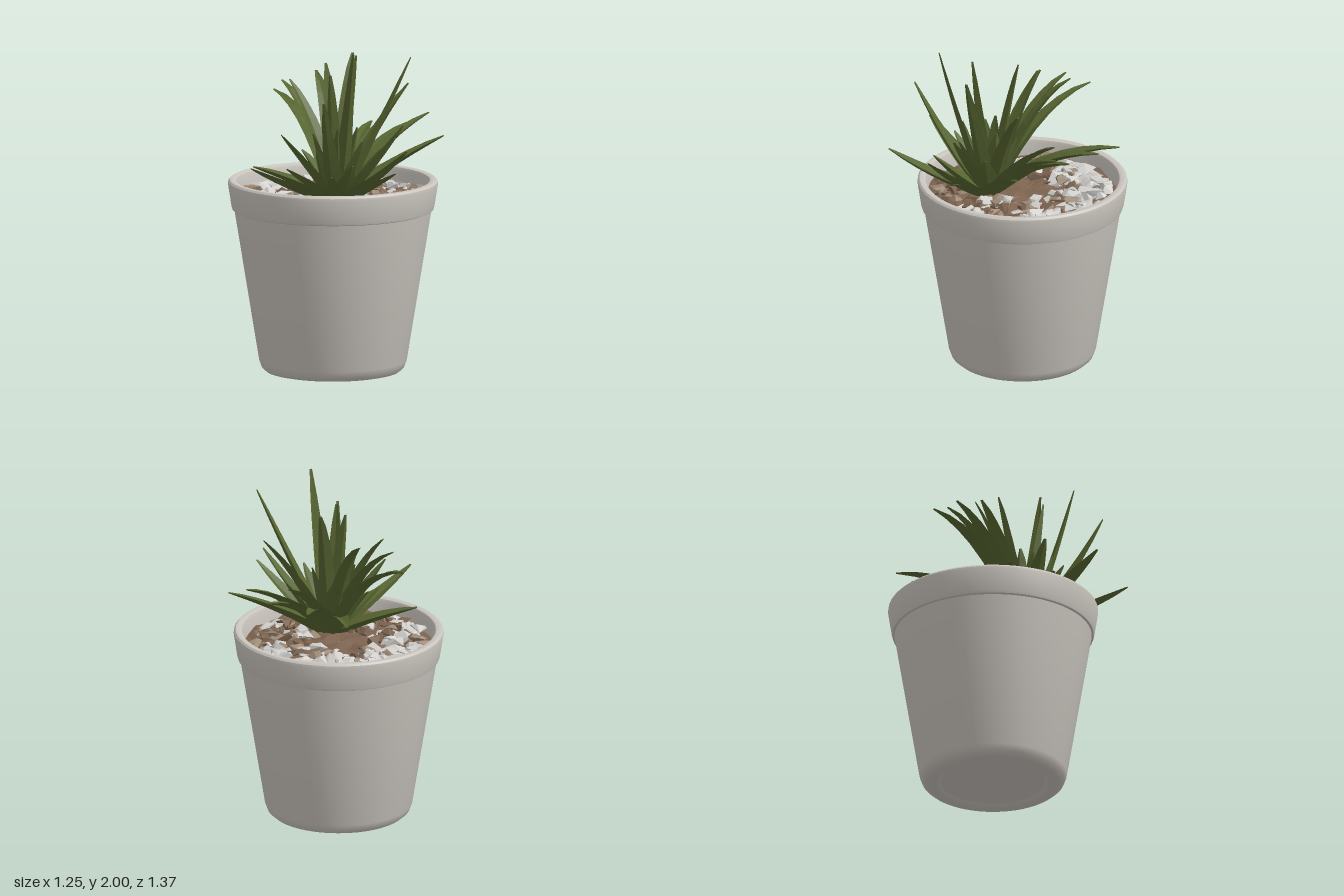
import * as THREE from 'three';
import { mergeGeometries, toCreasedNormals } from 'three/addons/utils/BufferGeometryUtils.js';
import { ConvexGeometry } from 'three/addons/geometries/ConvexGeometry.js';

const POT_Z = -0.063;
const UP = new THREE.Vector3(0, 1, 0);

const material = (name, color, side = THREE.FrontSide) => {
  const m = new THREE.MeshStandardMaterial({ color, side });
  m.name = name;
  return m;
};

function seeded(seed) {
  return () => {
    seed = (seed * 16807) % 2147483647;
    return seed / 2147483647;
  };
}

// Arching leaf with a channelled top and a keel underneath
function leafGeometry(x, y, z) {
  const out = new THREE.Vector3(x - 0.1, 0, z - 0.1);
  const base = new THREE.Vector3(0.1, 1.07, 0.1).addScaledVector(out.clone().normalize(), 0.02);
  const tip = new THREE.Vector3(x, y, z);
  // Back leaves arch over, front leaves turn up; low leaves are broader
  const lift = 0.62 - 0.5 * z - 0.3 * x;
  const halfWidth = 0.125 - 0.035 * y;
  const control = base.clone().addScaledVector(out, 0.45);
  control.y += (y - base.y) * lift;
  const curve = new THREE.QuadraticBezierCurve3(base, control, tip);
  const side = new THREE.Vector3().crossVectors(UP, out).normalize();
  const section = [[1, 0.3], [0, 0], [-1, 0.3], [0, -0.4]];
  const steps = 7, positions = [], index = [];
  for (let i = 0; i <= steps; i++) {
    const t = i / steps;
    const p = curve.getPoint(t);
    const n = new THREE.Vector3().crossVectors(curve.getTangent(t), side);
    const w = halfWidth * Math.min(1, 0.75 + t * 1.5) * Math.pow(1 - t, 0.7) + 0.008;
    for (const [s, h] of section) {
      const v = p.clone().addScaledVector(side, s * w).addScaledVector(n, h * w);
      positions.push(v.x, v.y, v.z);
    }
    if (i === steps) continue;
    for (let j = 0; j < 4; j++) {
      const a = i * 4 + j, b = i * 4 + (j + 1) % 4;
      index.push(a, b, b + 4, a, b + 4, a + 4);
    }
  }
  const last = steps * 4;
  index.push(last, last + 1, last + 2, last, last + 2, last + 3);
  const g = new THREE.BufferGeometry();
  g.setAttribute('position', new THREE.Float32BufferAttribute(positions, 3));
  g.setIndex(index);
  const flat = g.toNonIndexed();
  flat.computeVertexNormals();
  return flat;
}

// Angular pebble: hull of a few scattered points
function stoneGeometry(rand, size) {
  const points = [];
  for (let i = 0; i < 9; i++) {
    const u = rand() * 2 - 1, a = rand() * Math.PI * 2, r = Math.sqrt(1 - u * u);
    points.push(new THREE.Vector3(r * Math.cos(a), u * 0.6, r * Math.sin(a)).multiplyScalar(size));
  }
  return new ConvexGeometry(points);
}

export function createModel() {
  const model = new THREE.Group();
  model.name = 'pottedSucculent';
  const potGrey = material('potGrey', 0xcac5be);
  const soilBrown = material('soilBrown', 0x7c634f);
  const stoneWhite = material('stoneWhite', 0xcfcecb);
  const stoneTan = material('stoneTan', 0x9c8874);
  const leafGreen = material('leafGreen', 0x566430, THREE.DoubleSide);

  const add = (name, geometry, mat, z = 0) => {
    const mesh = new THREE.Mesh(geometry, mat);
    mesh.name = name;
    mesh.position.z = z;
    model.add(mesh);
  };

  // Tapered pot with a collar, rounded lip and recessed foot
  const profile = [
    [0, 0.02], [0.31, 0.02], [0.32, 0.012], [0.34, 0.002], [0.365, 0], [0.4, 0.008], [0.425, 0.03], [0.44, 0.07],
    [0.588, 0.98], [0.6, 0.985], [0.605, 1], [0.626, 1.135],
    [0.624, 1.15], [0.614, 1.161], [0.592, 1.163], [0.579, 1.157], [0.572, 1.14], [0.567, 1.02],
  ].map(([r, y]) => new THREE.Vector2(r, y));
  add('pot', toCreasedNormals(new THREE.LatheGeometry(profile, 64), 0.6), potGrey, POT_Z);

  // Lumpy soil, slightly mounded under the plant
  const rand = seeded(4217);
  const soil = new THREE.RingGeometry(0.001, 0.57, 28, 7).rotateX(-Math.PI / 2);
  const sp = soil.attributes.position;
  for (let i = 0; i < sp.count; i++) {
    const x = sp.getX(i), z = sp.getZ(i);
    const bump = 0.018 * Math.sin(x * 23 + z * 9) * Math.cos(z * 27 - x * 7);
    sp.setY(i, 1.06 + bump + 0.025 * Math.exp(-((x - 0.1) ** 2 + (z - 0.15) ** 2) * 12));
  }
  const soilFlat = soil.toNonIndexed();
  soilFlat.computeVertexNormals();
  add('soil', soilFlat, soilBrown, POT_Z);

  // Gravel: pale at the back and left, earthier at the front
  const gravel = { white: [], tan: [], brown: [] };
  for (let i = 0; i < 260; i++) {
    const a = rand() * Math.PI * 2, r = 0.15 + 0.36 * Math.sqrt(rand());
    const x = r * Math.cos(a), z = r * Math.sin(a);
    const size = 0.035 + 0.04 * rand();
    const pale = 0.42 - z * 1.1 - x * 0.45 + (r - 0.35) * 0.8;
    const pick = rand();
    const kind = pick < pale ? 'white' : pick < pale + 0.2 ? 'tan' : 'brown';
    gravel[kind].push(stoneGeometry(rand, size).translate(x, 1.06 + 0.03 * rand(), z));
  }
  add('paleStones', mergeGeometries(gravel.white), stoneWhite, POT_Z);
  add('tanStones', mergeGeometries(gravel.tan), stoneTan, POT_Z);
  add('soilClods', mergeGeometries(gravel.brown), soilBrown, POT_Z);

  // Low spreading leaves, given by their tips
  const outerTips = [
    [-0.22, 1.38, -0.6], [0.03, 1.43, -0.59], [0.21, 1.5, -0.39], [0.29, 1.45, -0.53],
    [0.43, 1.52, -0.52], [0.6, 1.42, -0.34], [0.61, 1.42, 0.25], [0.53, 1.55, 0.12],
    [0.3, 1.31, 0.68], [-0.22, 1.33, 0.68], [-0.41, 1.25, 0.19], [-0.47, 1.64, -0.27],
  ];
  // Taller leaves around the heart
  const upperTips = [
    [0.2, 1.73, 0.56], [0.54, 1.95, 0.03], [0.3, 2, 0.34], [0.24, 1.96, 0.15],
    [0.07, 1.91, -0.2], [-0.03, 1.87, -0.02], [-0.2, 1.77, -0.28], [-0.27, 1.75, -0.04],
    [-0.37, 1.72, -0.16], [0.41, 1.74, -0.25], [0.1, 1.84, 0.22], [-0.17, 1.48, 0.33],
  ];
  // Short inner rosette, rising in a spiral
  const innerTips = [];
  for (let i = 0; i < 14; i++) {
    const a = i * 2.4, reach = 0.36 - 0.022 * i;
    innerTips.push([0.13 + reach * Math.cos(a), 1.26 + 0.024 * i, 0.14 + reach * Math.sin(a)]);
  }
  const addLeaves = (name, tips) =>
    add(name, mergeGeometries(tips.map((tip) => leafGeometry(...tip))), leafGreen);
  addLeaves('outerLeaves', outerTips);
  addLeaves('upperLeaves', upperTips);
  addLeaves('innerLeaves', innerTips);

  return model;
}
